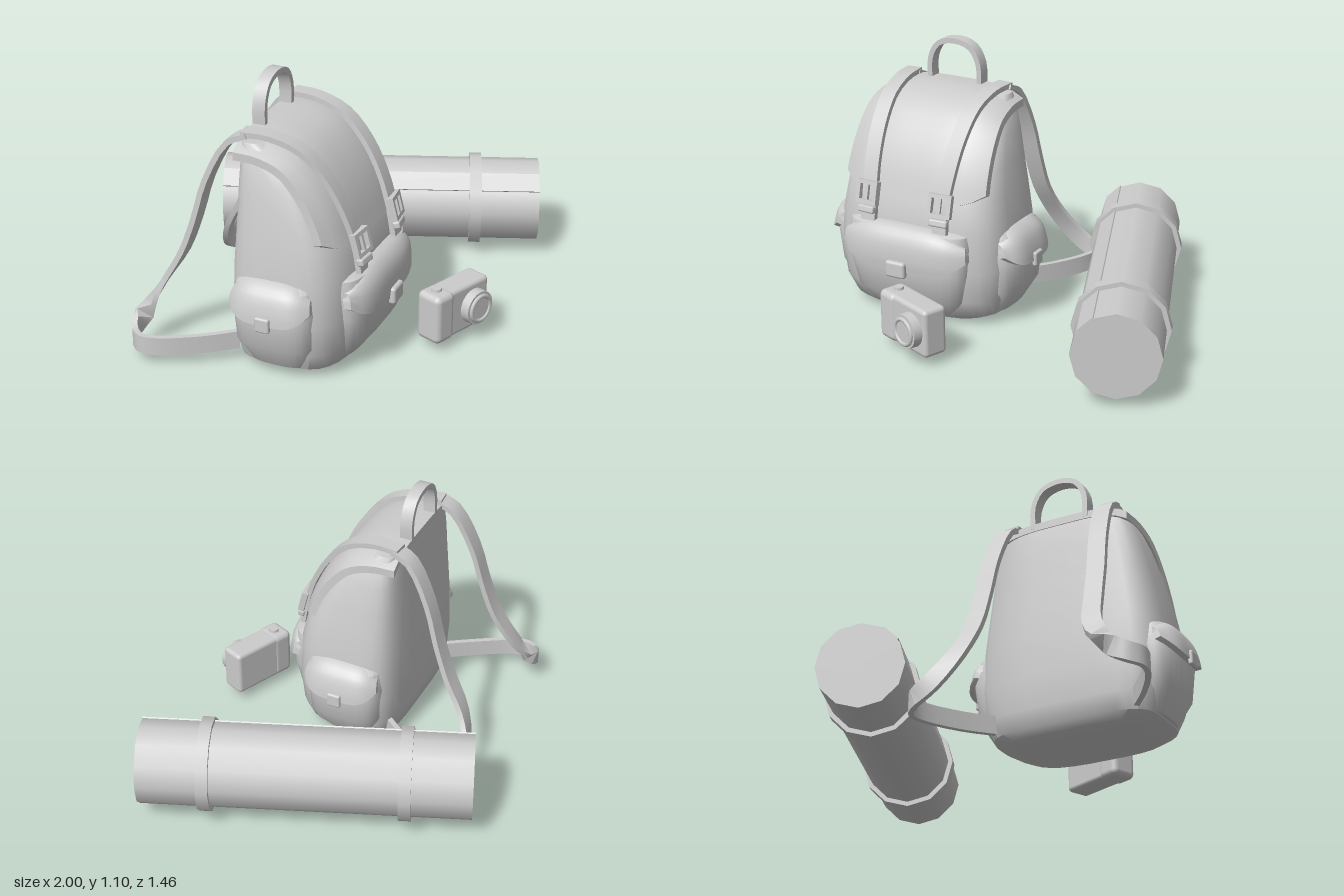
import * as THREE from 'three';
import { toCreasedNormals } from 'three/addons/utils/BufferGeometryUtils.js';
import { RoundedBoxGeometry } from 'three/addons/geometries/RoundedBoxGeometry.js';

const grey = new THREE.MeshStandardMaterial({ color: 0xcccccc });
grey.name = 'plain grey';
const V = (x, y, z) => new THREE.Vector3(x, y, z);

function add(parent, name, geo, x = 0, y = 0, z = 0) {
  const m = new THREE.Mesh(geo, grey);
  m.name = name;
  m.position.set(x, y, z);
  parent.add(m);
  return m;
}

// Closed solid through equal-sized rings, capped at both ends and turned outward
function loft(rings, crease = 0.7) {
  const n = rings[0].length, tris = [];
  const quad = (a, b, c, d) => tris.push([a, b, c], [a, c, d]);
  for (let i = 0; i < rings.length - 1; i++)
    for (let j = 0; j < n; j++) {
      const k = (j + 1) % n;
      quad(rings[i][j], rings[i][k], rings[i + 1][k], rings[i + 1][j]);
    }
  const first = rings[0], last = rings[rings.length - 1];
  for (let j = 0; j < n / 2 - 1; j++) {
    quad(first[n - 1 - j], first[n - 2 - j], first[j + 1], first[j]);
    quad(last[j], last[j + 1], last[n - 2 - j], last[n - 1 - j]);
  }
  let volume = 0;
  for (const [a, b, c] of tris) volume += a.dot(V().crossVectors(b, c));
  const pts = tris.flatMap(([a, b, c]) => (volume < 0 ? [a, c, b] : [a, b, c]));
  return toCreasedNormals(new THREE.BufferGeometry().setFromPoints(pts), crease);
}

// Soft bag from levels [y, halfWidth, back, front] with rounded-square outlines;
// pBack sets how square the rear corners are
function bag(levels, p = 0.6, pBack = p, n = 28) {
  const pow = (v, e) => Math.sign(v) * Math.abs(v) ** e;
  return loft(levels.map(([y, hw, back, front]) => Array.from({ length: n }, (_, i) => {
    const a = ((i + 0.5) / n) * Math.PI * 2, e = Math.sin(a) < 0 ? pBack : p;
    return V(hw * pow(Math.cos(a), e), y, (back + front) / 2 + ((front - back) / 2) * pow(Math.sin(a), e));
  })));
}

// Thick curved flap following a side profile of [z, y] points
function flap(profile, hw0, hw1, cut, drop, thick) {
  const curve = new THREE.CatmullRomCurve3(profile.map(([z, y]) => V(0, y, z)));
  const rings = [], rows = 12, cols = 14;
  for (let i = 0; i <= rows; i++) {
    const outer = [], inner = [];
    for (let j = 0; j <= cols; j++) {
      const u = (j / cols) * 2 - 1, t = (i / rows) * (1 - cut * u ** 4);
      const tan = curve.getTangent(t), normal = V(0, tan.z, -tan.y);
      const p = curve.getPoint(t).addScaledVector(normal, -drop * u ** 4);
      p.x = u * (hw0 + (hw1 - hw0) * t);
      outer.push(p);
      inner.push(p.clone().addScaledVector(normal, -thick));
    }
    rings.push([...outer, ...inner.reverse()]);
  }
  return loft(rings);
}

// Flat strap along a path; its width direction turns from w0 to w1
function ribbon(points, w0, w1, width, thick, steps = 18) {
  const curve = new THREE.CatmullRomCurve3(points);
  const rings = [];
  for (let i = 0; i <= steps; i++) {
    const t = i / steps, c = curve.getPoint(t), tan = curve.getTangent(t);
    const w = w0.clone().lerp(w1, THREE.MathUtils.smoothstep(t, 0.35, 0.7));
    w.addScaledVector(tan, -w.dot(tan)).normalize();
    const nrm = V().crossVectors(tan, w).multiplyScalar(thick / 2);
    w.multiplyScalar(width / 2);
    rings.push([[1, 1], [-1, 1], [-1, -1], [1, -1]].map(([a, b]) =>
      c.clone().addScaledVector(w, a).addScaledVector(nrm, b)));
  }
  return loft(rings, 0.6);
}

// Rectangular buckle frame with an opening
function frame(w, h, border, depth) {
  const rect = (C, a, b) => {
    const s = new C();
    s.moveTo(-a, -b); s.lineTo(a, -b); s.lineTo(a, b); s.lineTo(-a, b); s.closePath();
    return s;
  };
  const shape = rect(THREE.Shape, w / 2, h / 2);
  shape.holes.push(rect(THREE.Path, w / 2 - border, h / 2 - border));
  return new THREE.ExtrudeGeometry(shape, { depth, bevelEnabled: false });
}

function makeBackpack() {
  const g = new THREE.Group();
  g.name = 'backpack';
  add(g, 'body', bag([
    [0.004, 0.17, -0.11, 0.13], [0.018, 0.29, -0.17, 0.2], [0.045, 0.345, -0.195, 0.23],
    [0.12, 0.375, -0.207, 0.26], [0.25, 0.39, -0.212, 0.27], [0.42, 0.38, -0.21, 0.265],
    [0.55, 0.36, -0.205, 0.235], [0.66, 0.34, -0.2, 0.18], [0.77, 0.318, -0.195, 0.1],
    [0.86, 0.29, -0.19, 0.01], [0.905, 0.265, -0.185, -0.08]], 0.6, 0.42));

  const lidProfile = [[-0.19, 0.922], [-0.08, 0.92], [0.04, 0.88], [0.135, 0.785], [0.205, 0.66], [0.25, 0.525]];
  add(g, 'lid', flap(lidProfile, 0.295, 0.33, 0.1, 0.05, 0.032));

  // Front pocket with flap and clasp
  add(g, 'frontPocket', bag([
    [0.045, 0.2, 0.1, 0.24], [0.12, 0.25, 0.1, 0.295], [0.25, 0.275, 0.1, 0.32],
    [0.36, 0.28, 0.1, 0.315], [0.41, 0.275, 0.1, 0.3], [0.425, 0.25, 0.1, 0.27]]));
  add(g, 'frontPocketFlap', flap(
    [[0.2, 0.43], [0.29, 0.425], [0.33, 0.38], [0.342, 0.3], [0.338, 0.25]], 0.27, 0.295, 0.3, 0.06, 0.03));
  add(g, 'frontClasp', new RoundedBoxGeometry(0.09, 0.07, 0.03, 2, 0.012), 0, 0.26, 0.345);

  for (const s of [1, -1]) {
    // Side pocket
    const side = new THREE.Group();
    side.name = s > 0 ? 'leftSidePocket' : 'rightSidePocket';
    side.rotation.y = (s * Math.PI) / 2;
    add(side, 'sidePocketBag', bag([
      [0.05, 0.12, 0.2, 0.36], [0.15, 0.16, 0.2, 0.42], [0.3, 0.168, 0.2, 0.438],
      [0.39, 0.16, 0.2, 0.415], [0.415, 0.14, 0.2, 0.385]], 0.65));
    add(side, 'sidePocketFlap', flap(
      [[0.3, 0.425], [0.38, 0.42], [0.43, 0.385], [0.455, 0.32], [0.462, 0.27]], 0.15, 0.172, 0.3, 0.05, 0.025));
    add(side, 'sideClasp', new RoundedBoxGeometry(0.06, 0.06, 0.02, 2, 0.008), 0, 0.275, 0.462);
    g.add(side);

    // Lid strap, running from the back edge down to the buckle
    const lidPath = lidProfile.map(([z, y], i) => V(s * (0.217 - i * 0.01), y + 0.003, z + 0.006));
    lidPath.push(V(s * 0.167, 0.42, 0.275));
    add(g, 'lidStrap', ribbon(lidPath, V(1, 0, 0), V(1, 0, 0), 0.065, 0.022));

    // Buckle
    const buckle = new THREE.Group();
    buckle.name = 'buckle';
    buckle.position.set(s * 0.167, 0.535, 0.258);
    buckle.rotation.set(-0.25, s * 0.12, 0);
    add(buckle, 'buckleFrame', frame(0.1, 0.095, 0.016, 0.026));
    add(buckle, 'buckleTongue', new THREE.BoxGeometry(0.014, 0.07, 0.012), 0, 0.005, 0.02);
    add(buckle, 'strapKeeper', new RoundedBoxGeometry(0.08, 0.03, 0.03, 2, 0.008), 0, -0.07, 0.01);
    g.add(buckle);

    // Shoulder strap, curling out and back to the bottom of the body
    add(g, 'shoulderStrap', ribbon([
      V(s * 0.217, 0.922, -0.16), V(s * 0.222, 0.885, -0.235), V(s * 0.235, 0.72, -0.325),
      V(s * 0.245, 0.55, -0.375), V(s * 0.255, 0.4, -0.43), V(s * 0.285, 0.26, -0.51),
      V(s * 0.36, 0.145, -0.56), V(s * 0.435, 0.095, -0.56), V(s * 0.475, 0.085, -0.515),
      V(s * 0.465, 0.085, -0.44), V(s * 0.38, 0.085, -0.29), V(s * 0.3, 0.09, -0.18)],
    V(1, 0, 0), V(0, 1, 0), 0.075, 0.022, 33));
  }

  // Carry handle
  add(g, 'handle', ribbon([
    V(-0.115, 0.9, -0.165), V(-0.113, 1.0, -0.165), V(-0.075, 1.067, -0.165), V(0, 1.088, -0.165),
    V(0.075, 1.067, -0.165), V(0.113, 1.0, -0.165), V(0.115, 0.9, -0.165)],
  V(0, 0, 1), V(0, 0, 1), 0.052, 0.022));

  g.position.set(-0.295, 0, 0.32);
  g.rotation.y = THREE.MathUtils.degToRad(36);
  return g;
}

// Rolled mat, lying along local x
function makeRoll() {
  const g = new THREE.Group();
  g.name = 'sleepingRoll';
  const tube = (r, len) => new THREE.CylinderGeometry(r, r, len, 12).rotateZ(Math.PI / 2);
  add(g, 'matRoll', tube(0.174, 1.338));
  for (const x of [-0.4, 0.4]) add(g, 'rollBand', tube(0.193, 0.05), x);
  // Loose outer edge of the mat
  const edge = add(g, 'matEdge', new THREE.BoxGeometry(1.338, 0.012, 0.08), 0, 0.124, 0.113);
  edge.rotation.x = 0.75;
  g.position.set(0.347, 0.216, -0.229);
  g.rotation.y = -Math.atan2(0.725, 1.13);
  return g;
}

function makeCamera() {
  const g = new THREE.Group();
  g.name = 'camera';
  const disc = (r0, r1, d) => new THREE.CylinderGeometry(r0, r1, d, 20).rotateX(Math.PI / 2);
  add(g, 'cameraBody', new RoundedBoxGeometry(0.295, 0.2, 0.106, 3, 0.018), 0, 0.145, 0);
  add(g, 'cameraGrip', new RoundedBoxGeometry(0.1, 0.205, 0.118, 3, 0.025), -0.1, 0.145, 0.003);
  add(g, 'lensBase', disc(0.07, 0.072, 0.05), 0.06, 0.145, 0.065);
  add(g, 'lensRing', new THREE.TorusGeometry(0.052, 0.009, 8, 20), 0.06, 0.145, 0.092);
  add(g, 'lensGlass', disc(0.045, 0.045, 0.008), 0.06, 0.145, 0.09);
  add(g, 'shutterButton', new THREE.CylinderGeometry(0.02, 0.022, 0.016, 14), -0.095, 0.25, 0);
  g.position.set(0.154, 0, 0.626);
  g.rotation.y = THREE.MathUtils.degToRad(13.6);
  return g;
}

export function createModel() {
  const model = new THREE.Group();
  model.name = 'hikingGear';
  model.add(makeBackpack(), makeRoll(), makeCamera());
  return model;
}
